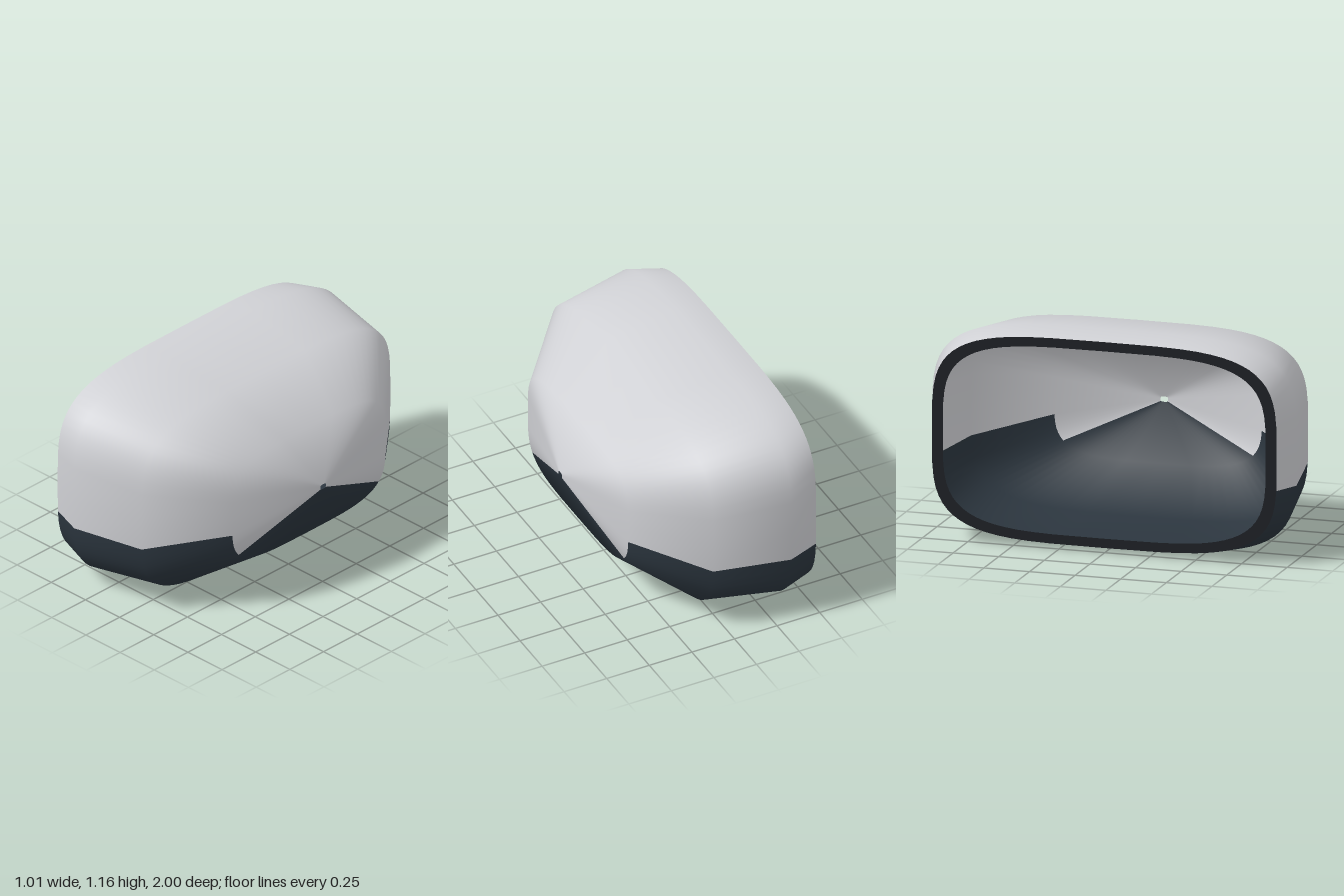
import * as THREE from 'three';

const SEGMENTS = 64;
const CENTRE_Y = 0.582;

// Cross-sections along x: [x, half height, half width]
const SECTIONS = [
  [-0.508, 0.554, 0.945],
  [-0.335, 0.581, 1.0],
  [0.085, 0.529, 0.925],
  [0.4, 0.319, 0.57],
  [0.505, 0.014, 0.02],
];

// Fourth-power superellipse: a rounded rectangle, as [y, z] factors
const softPower = (v) => Math.sign(v) * Math.sqrt(Math.abs(v));
function roundedPoint(i) {
  const t = (i / SEGMENTS) * Math.PI * 2;
  return [softPower(Math.sin(t)), softPower(Math.cos(t))];
}

// Skins consecutive loops; pick(row, segment) gives the material index
function loft(sections, pick, materialCount) {
  const positions = [];
  for (const [x, h, w] of sections) {
    for (let i = 0; i < SEGMENTS; i++) {
      const [y, z] = roundedPoint(i);
      positions.push(x, CENTRE_Y + y * h, z * w);
    }
  }
  const faces = Array.from({ length: materialCount }, () => []);
  for (let r = 0; r < sections.length - 1; r++) {
    for (let i = 0; i < SEGMENTS; i++) {
      const j = (i + 1) % SEGMENTS;
      const a = r * SEGMENTS + i, b = a + SEGMENTS;
      const d = r * SEGMENTS + j, c = d + SEGMENTS;
      faces[pick(r, i)].push(a, b, c, a, c, d);
    }
  }
  const geometry = new THREE.BufferGeometry();
  geometry.setAttribute('position', new THREE.Float32BufferAttribute(positions, 3));
  geometry.setIndex(faces.flat());
  let start = 0;
  faces.forEach((list, m) => {
    geometry.addGroup(start, list.length, m);
    start += list.length;
  });
  geometry.computeVertexNormals();
  return geometry;
}

export function createModel() {
  const model = new THREE.Group();
  model.name = 'roundedShell';

  const material = (name, color) =>
    new THREE.MeshStandardMaterial({ name, color, side: THREE.DoubleSide });
  const paleGrey = material('paleGrey', 0xd0d1d5);
  const darkSlate = material('darkSlate', 0x2b353e);
  const rimBlack = material('rimBlack', 0x1c1f24);

  // Hollow shell: pale above, dark below; the dark area starts lower on the nose
  const noseRow = SECTIONS.length - 2;
  const isDark = (row, i) => {
    const middle = Math.sin(((i + 0.5) / SEGMENTS) * Math.PI * 2);
    return middle < (row === noseRow ? -0.556 : -0.098) ? 1 : 0;
  };
  const shell = new THREE.Mesh(loft(SECTIONS, isDark, 2), [paleGrey, darkSlate]);
  shell.name = 'shell';
  model.add(shell);

  // Flat rim around the open side
  const [x, h, w] = SECTIONS[0];
  const rim = new THREE.Mesh(
    loft([[x, h - 0.05, w - 0.06], [x, h, w]], () => 0, 1),
    [rimBlack]
  );
  rim.name = 'openingRim';
  model.add(rim);

  return model;
}
